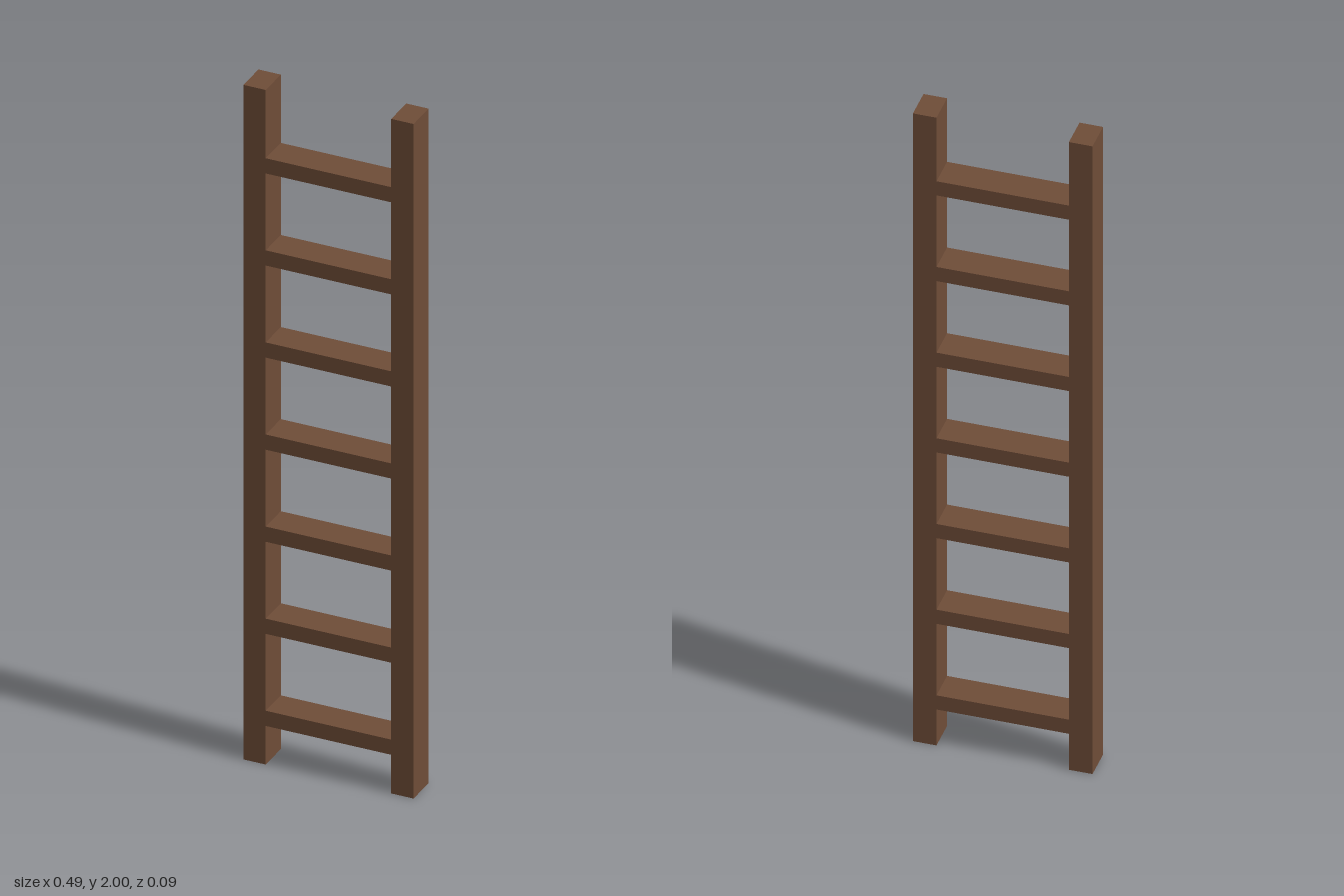
import * as THREE from 'three';

export function createModel() {
  const ladder = new THREE.Group();
  ladder.name = 'ladder';
  const wood = new THREE.MeshStandardMaterial({ color: 0x6f4d38 });

  const height = 2, depth = 0.091;
  const railWidth = 0.064, innerHalf = 0.18;
  const rungCount = 7, rungThickness = 0.045, firstRung = 0.137, rungSpacing = 0.273;

  function addBeam(name, width, tall, x, y) {
    const beam = new THREE.Mesh(new THREE.BoxGeometry(width, tall, depth), wood);
    beam.name = name;
    beam.position.set(x, y, 0);
    ladder.add(beam);
  }

  // Upright side rails
  for (const [name, side] of [['leftRail', 1], ['rightRail', -1]]) {
    addBeam(name, railWidth, height, side * (innerHalf + railWidth / 2), height / 2);
  }

  // Flat rungs, flush with the rails front and back
  for (let i = 0; i < rungCount; i++) {
    addBeam(`rung${i + 1}`, innerHalf * 2, rungThickness, 0, firstRung + i * rungSpacing);
  }

  return ladder;
}
